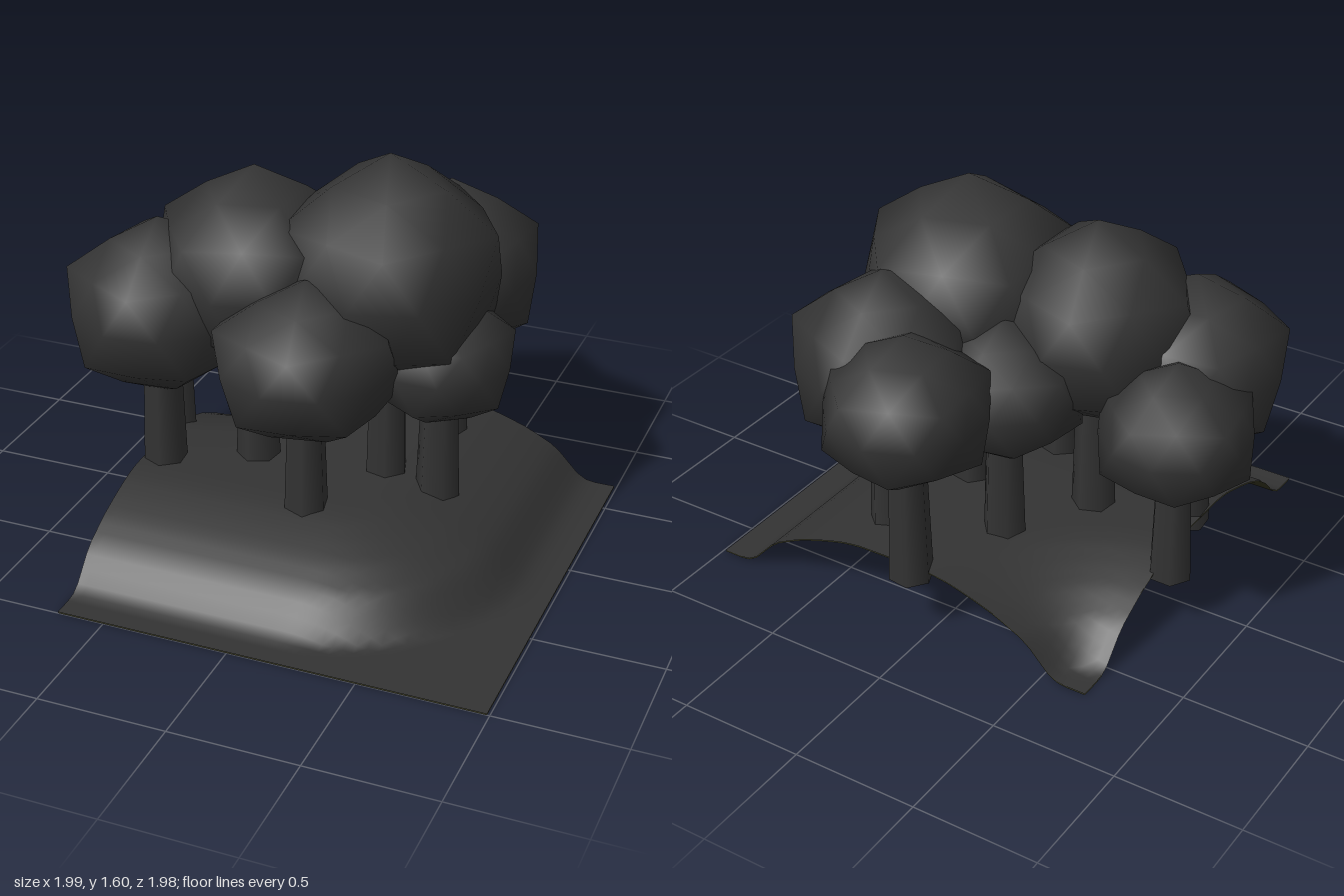
import * as THREE from 'three';
import { mergeVertices } from 'three/addons/utils/BufferGeometryUtils.js';

const dark = () => new THREE.MeshStandardMaterial({ color: 0x333333 });

// Hill cross-section: distance from the ridge line -> height
const SLOPE = [[0, 0.28], [0.17, 0.277], [0.25, 0.264], [0.35, 0.235], [0.45, 0.2],
  [0.58, 0.135], [0.7, 0.008], [0.76, 0]];
function slope(d) {
  if (d <= 0) return SLOPE[0][1];
  for (let i = 1; i < SLOPE.length; i++) {
    const [d0, h0] = SLOPE[i - 1], [d1, h1] = SLOPE[i];
    if (d < d1) return h0 + (h1 - h0) * (d - d0) / (d1 - d0);
  }
  return 0;
}

// Hill that bends round the back left corner: rounded outer flank, hollow inner flank
const MID = 0.15, HALF = 0.84;
function hillHeight(x, z) {
  const outer = Math.hypot(Math.max(x - MID, 0), Math.max(z - MID, 0));
  const inner = HALF - Math.hypot(x - MID + HALF, z - MID + HALF);
  return Math.min(slope(outer), slope(inner));
}

function hillSheet(lift) {
  const geo = new THREE.PlaneGeometry(2 * HALF, 2 * HALF, 42, 42);
  geo.rotateX(-Math.PI / 2).translate(MID, 0, MID + 0.01);
  const p = geo.attributes.position;
  for (let i = 0; i < p.count; i++) p.setY(i, hillHeight(p.getX(i), p.getZ(i) - 0.01) + lift);
  geo.computeVertexNormals();
  return geo;
}

// Crown: upright icosahedron whose faces bulge slightly, with smooth normals
function crownGeometry() {
  let geo = new THREE.IcosahedronGeometry(1, 1);
  const corners = new THREE.IcosahedronGeometry(1, 0).attributes.position;
  geo.deleteAttribute('uv');
  geo.deleteAttribute('normal');
  geo = mergeVertices(geo, 1e-3);
  const p = geo.attributes.position, v = new THREE.Vector3(), c = new THREE.Vector3();
  for (let i = 0; i < p.count; i++) {
    v.fromBufferAttribute(p, i);
    let isCorner = false;
    for (let j = 0; j < corners.count; j++) {
      if (c.fromBufferAttribute(corners, j).distanceTo(v) < 0.05) isCorner = true;
    }
    if (!isCorner) v.multiplyScalar(0.89);
    p.setXYZ(i, v.x, v.y, v.z);
  }
  geo.rotateX(-Math.atan((1 + Math.sqrt(5)) / 2));
  geo.computeVertexNormals();
  return geo;
}

// x, z, crown top, crown radius, crown half height, trunk foot, turn
const TREES = [
  [0.23, -0.02, 1.60, 0.475, 0.47, 0.22, 0.3],
  [-0.28, 0.06, 1.51, 0.43, 0.42, 0.22, 0.9],
  [-0.61, 0.22, 1.31, 0.39, 0.365, 0.22, 0.1],
  [-0.72, -0.11, 1.13, 0.32, 0.295, 0.21, 0.5],
  [0.04, 0.34, 1.21, 0.385, 0.33, 0.25, 0.2],
  [0.45, 0.0, 1.10, 0.31, 0.28, 0.23, 0.6],
  [0.33, -0.44, 1.36, 0.385, 0.37, 0.26, 0.8],
  [0.08, -0.67, 1.27, 0.345, 0.31, 0.235, 0.4],
  [-0.08, -0.27, 1.20, 0.33, 0.29, 0.22, 0.7],
];

export function createModel() {
  const model = new THREE.Group();
  model.name = 'groveOnHill';

  // Ground: upper surface and earthy underside
  const top = new THREE.Mesh(hillSheet(0.005), dark());
  top.name = 'hillTop';
  const under = new THREE.Mesh(hillSheet(0),
    new THREE.MeshStandardMaterial({ color: 0x33331f, side: THREE.DoubleSide }));
  under.name = 'hillUnderside';
  model.add(top, under);

  // Trees
  const crownGeo = crownGeometry();
  for (const [x, z, crownTop, radius, half, foot, turn] of TREES) {
    const tree = new THREE.Group();
    tree.name = 'tree';
    tree.position.set(x, 0, z);

    const crown = new THREE.Mesh(crownGeo, dark());
    crown.name = 'crown';
    crown.scale.set(radius, half, radius);
    crown.position.y = crownTop - half;
    crown.rotation.y = turn;

    const height = crownTop - half - foot;
    const trunk = new THREE.Mesh(new THREE.CylinderGeometry(0.066, 0.088, height, 6), dark());
    trunk.name = 'trunk';
    trunk.position.y = foot + height / 2;
    trunk.rotation.y = turn;

    tree.add(crown, trunk);
    model.add(tree);
  }
  return model;
}
